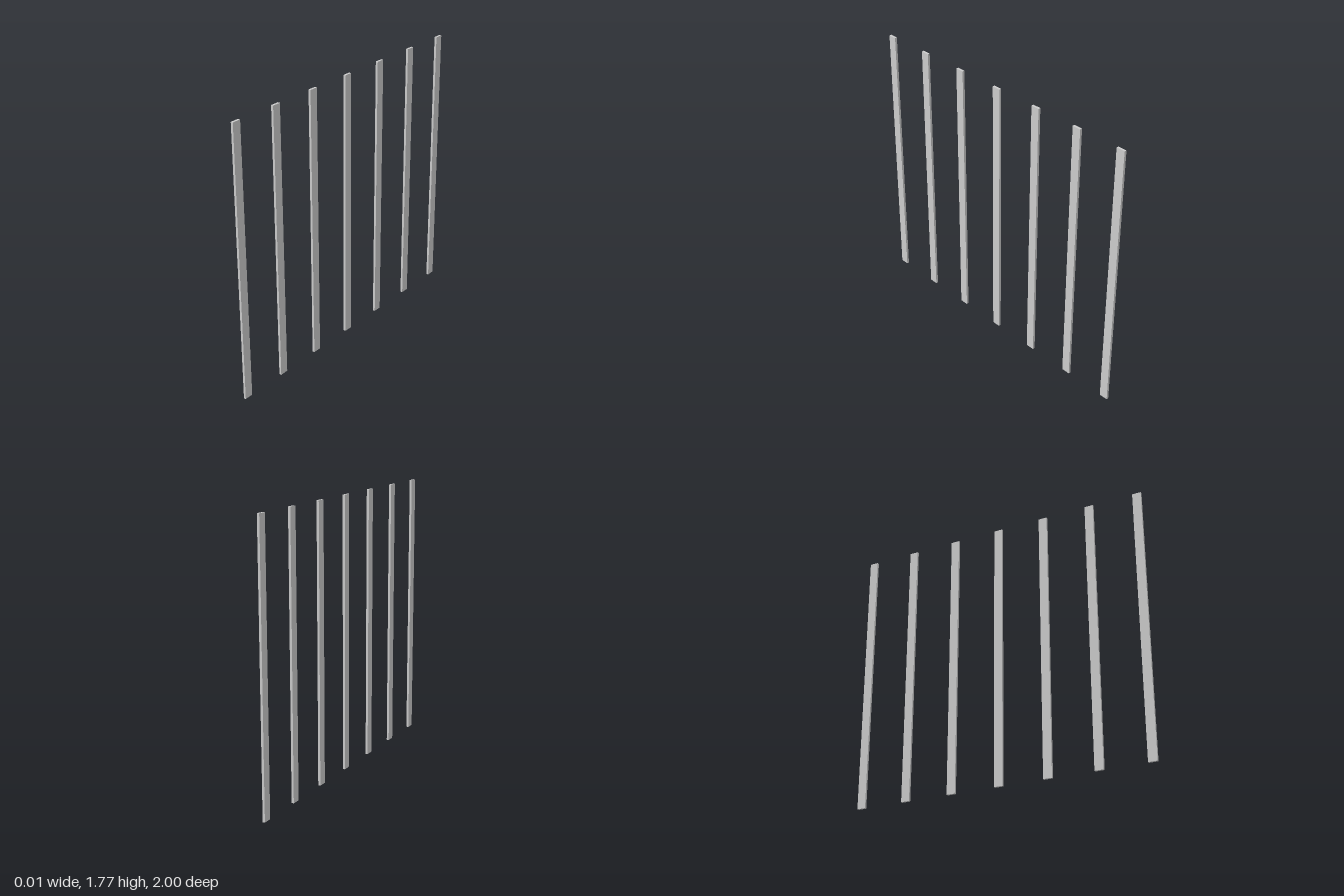
import * as THREE from 'three';

const HEIGHT = 1.766, WIDTH = 0.057, THICKNESS = 0.015, COUNT = 7;

export function createModel() {
  const model = new THREE.Group();
  model.name = 'slatScreen';
  const material = new THREE.MeshStandardMaterial({ color: 0xcccccc });
  const geometry = new THREE.BoxGeometry(THICKNESS, HEIGHT, WIDTH);

  // Row of evenly spaced upright slats, outer faces at z = -1 and z = 1
  const spacing = (2 - WIDTH) / (COUNT - 1);
  for (let i = 0; i < COUNT; i++) {
    const slat = new THREE.Mesh(geometry, material);
    slat.name = `slat${i + 1}`;
    slat.position.set(0, HEIGHT / 2, (i - (COUNT - 1) / 2) * spacing);
    model.add(slat);
  }
  return model;
}
